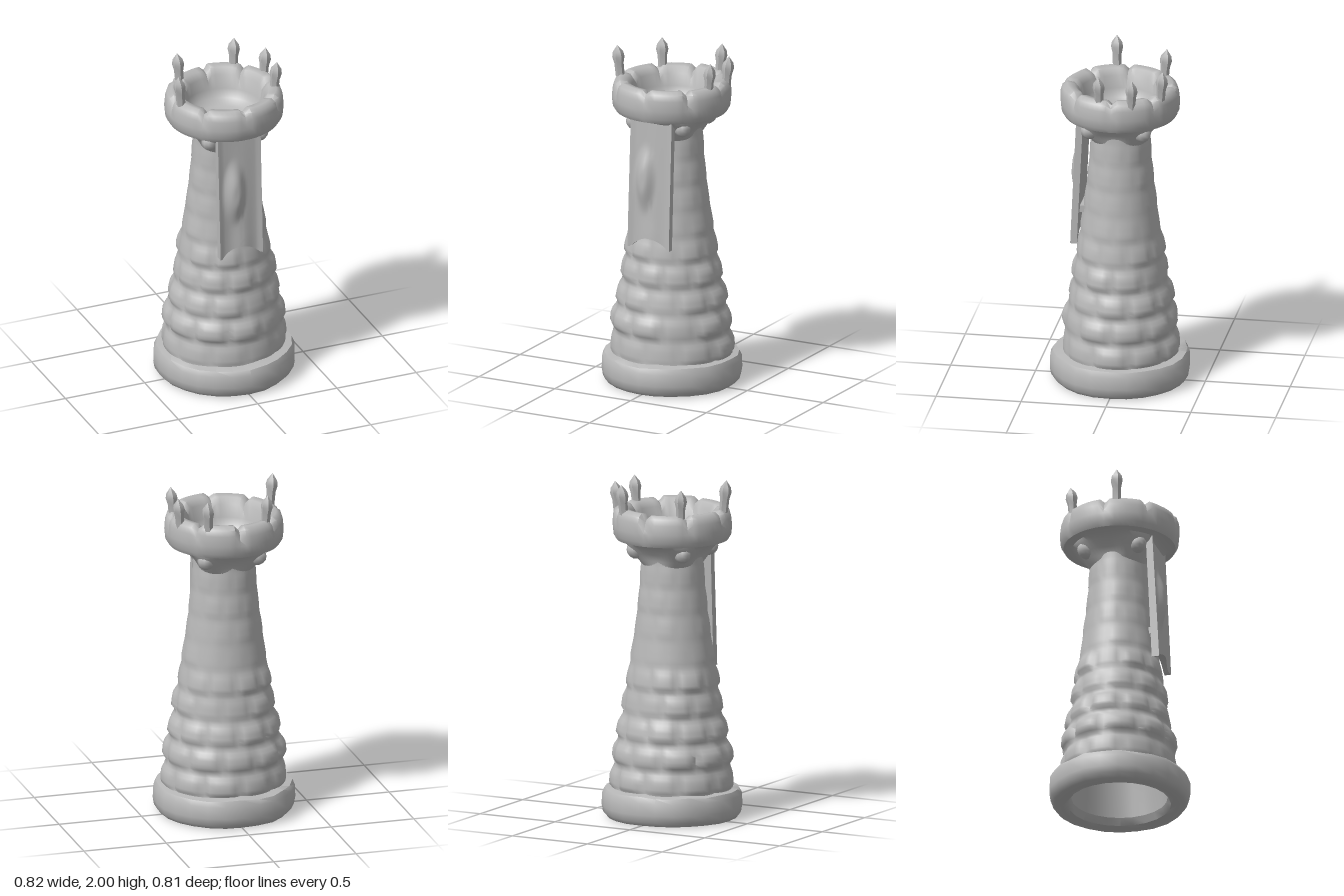
import * as THREE from 'three';
import { mergeVertices, toCreasedNormals } from 'three/addons/utils/BufferGeometryUtils.js';

const TAU = Math.PI * 2;
const hash = (a, b) => {
  const s = Math.sin(a * 127.1 + b * 311.7) * 43758.5453;
  return s - Math.floor(s);
};
const smooth = THREE.MathUtils.smoothstep;

// Move every vertex by a rule, then rebuild normals with creases
function deform(geo, rule, crease = 0.9) {
  const v = new THREE.Vector3();
  const p = geo.attributes.position;
  for (let i = 0; i < p.count; i++) {
    rule(v.fromBufferAttribute(p, i));
    p.setXYZ(i, v.x, v.y, v.z);
  }
  geo.deleteAttribute('uv');
  geo.deleteAttribute('normal');
  return toCreasedNormals(mergeVertices(geo, 1e-4), crease);
}

// Lathe whose radius and height follow a rule (angle, y, r) => [r, y]
function turned(points, segments, rule, crease) {
  const geo = new THREE.LatheGeometry(points.map(([r, y]) => new THREE.Vector2(r, y)), segments);
  return deform(geo, (v) => {
    const r = Math.hypot(v.x, v.z);
    const a = (Math.atan2(v.x, v.z) + TAU + 1e-5) % TAU;
    const [nr, ny] = rule(a, v.y, r);
    v.set(Math.sin(a) * nr, ny, Math.cos(a) * nr);
  }, crease);
}

// Tapering wall radius at a height
const wall = [[0.15, 0.355], [0.4, 0.33], [0.6, 0.29], [0.8, 0.262], [1, 0.235], [1.2, 0.208], [1.4, 0.188], [1.6, 0.178]];
function wallRadius(y) {
  let i = 0;
  while (i < wall.length - 2 && y > wall[i + 1][0]) i++;
  const [y0, r0] = wall[i], [y1, r1] = wall[i + 1];
  return r0 + (r1 - r0) * (y - y0) / (y1 - y0);
}

export function createModel() {
  const model = new THREE.Group();
  const stone = new THREE.MeshStandardMaterial({ color: 0xb8b8b8 });
  stone.name = 'stone grey';
  const add = (geo, name, parent = model) => {
    const mesh = new THREE.Mesh(geo, stone);
    mesh.name = name;
    parent.add(mesh);
    return mesh;
  };

  // Heavy foot ring, slightly uneven
  add(turned(
    [[0.28, 0.05], [0.3, 0.008], [0.34, 0], [0.385, 0.004], [0.408, 0.03], [0.415, 0.07], [0.414, 0.14], [0.398, 0.172], [0.33, 0.182]],
    24,
    (a, y, r) => [r > 0.33 ? r - 0.01 * hash(Math.round(a * 24 / TAU), 3) : r, y + (y > 0.15 ? 0.012 * (hash(Math.round(a * 24 / TAU), 8) - 0.5) : 0)],
  ), 'footRing');

  // Hollow inside, open at the bottom
  add(turned([[0, 1.45], [0.13, 1.42], [0.16, 1.2], [0.22, 0.7], [0.265, 0.25], [0.28, 0.05]], 24, (a, y, r) => [r, y]), 'hollow');

  // Tower wall: bulging uneven stones below, nearly plain courses above
  const rows = 70;
  const profile = Array.from({ length: rows + 1 }, (_, i) => {
    const y = 0.15 + 1.45 * i / rows;
    return [wallRadius(y), y];
  });
  add(turned(profile, 60, (a, y, r) => {
    const course = Math.floor((y - 0.17) / 0.15);
    const u = a / TAU * 10 + (course & 1) * 0.5;
    const cell = Math.floor(u) % 10;
    const fu = u - Math.floor(u), fy = (y - 0.17) / 0.15 - course;
    const pillow = smooth(Math.min(fu, 1 - fu), 0, 0.22) * smooth(fy, 0, 0.2) * (1 - smooth(fy, 0.55, 1));
    const rough = 1 - smooth(y, 0.7, 1.05) * 0.85;
    const out = pillow * (0.006 + 0.026 * hash(cell, course)) * rough;
    const oval = 1 - 0.06 * Math.cos(a) ** 2;
    return [(r + out) * oval, y];
  }, 1.1), 'towerWall');

  // Crown: lobed flare, rim cut into eight blocks, shallow bowl inside
  add(turned(
    [[0.165, 1.48], [0.19, 1.53], [0.215, 1.57], [0.25, 1.61], [0.275, 1.636], [0.325, 1.642], [0.342, 1.67], [0.347, 1.72],
      [0.346, 1.78], [0.335, 1.815], [0.308, 1.834], [0.265, 1.826], [0.237, 1.79], [0.222, 1.71], [0.2, 1.66], [0.155, 1.63], [0.08, 1.62], [0, 1.618]],
    64,
    (a, y, r) => {
      const u = a / TAU * 8, block = Math.floor(u) % 8;
      const seam = Math.min(u - Math.floor(u), Math.ceil(u) - u) < 0.06;
      if (y < 1.63 && r > 0.18 && y > 1.51 && r < 0.26) return [r - 0.018 * Math.cos(a * 4), y];
      if (y > 1.77 && r > 0.23) {
        const jitter = 0.014 * (hash(block, 5) - 0.5);
        return [r + jitter * 0.8 - (seam && r > 0.32 ? 0.012 : 0), y + jitter - (seam ? 0.026 : 0)];
      }
      return [r - (seam && r > 0.33 ? 0.006 : 0), y];
    },
  ), 'crown');

  // Small corbels under the crown
  for (let i = 0; i < 4; i++) {
    const a = Math.PI / 4 + i * Math.PI / 2;
    const corbel = add(new THREE.SphereGeometry(0.05, 10, 8), 'corbel');
    corbel.scale.set(1, 1.1, 1.2);
    corbel.position.set(Math.sin(a) * 0.215, 1.585, Math.cos(a) * 0.215);
    corbel.rotation.y = a;
  }

  // Five pointed finials on the rim: x, z, tip height
  const spikeProfile = [[0.026, -0.19], [0.027, -0.11], [0.036, -0.07], [0.03, -0.04], [0, 0]];
  for (const [x, z, top] of [[-0.318, 0.075, 2], [0.3, 0.08, 1.975], [0.315, -0.12, 1.97], [0.183, -0.28, 1.985], [-0.193, -0.24, 1.98]]) {
    const spike = new THREE.Group();
    spike.name = 'finial';
    spike.position.set(x, top, z);
    spike.rotation.set(z * 0.3, 0, -x * 0.3);
    add(turned(spikeProfile, 6, (a, y, r) => [r, y], 0.6), 'finialPoint', spike);
    model.add(spike);
  }

  // Hanging banner with a notched hem, rolled edges and a raised patch
  const banner = new THREE.BoxGeometry(0.27, 0.78, 0.034, 20, 32, 1);
  add(deform(banner, (v) => {
    const front = v.z > 0;
    const u = v.x / 0.135, t = 0.5 - v.y / 0.78;
    const hem = 0.05 * Math.max(0, 1 - u * u * 1.3) - 0.01 * u * u;
    const y = 1.645 - t * 0.775 + hem * smooth(t, 0.75, 1);
    let z = v.z + 0.215 + 0.037 * t;
    if (front) {
      const d = Math.hypot((v.x + 0.035) / 0.075, (y - 1.27) / 0.22);
      z += 0.04 * (1 - smooth(d, 0.2, 1)) + 0.006 * smooth(Math.abs(u), 0.82, 0.95);
      z += 0.006 * Math.sin(v.x * 38 + 1) * t;
    }
    v.set(v.x - 0.005, y, z);
  }, 0.9), 'banner');

  // Brackets tying the banner to the wall
  for (const [y, z] of [[1.58, 0.185], [1.06, 0.225]]) {
    const bracket = add(new THREE.BoxGeometry(0.16, 0.04, 0.06), 'bannerBracket');
    bracket.position.set(0, y, z);
  }

  return model;
}
